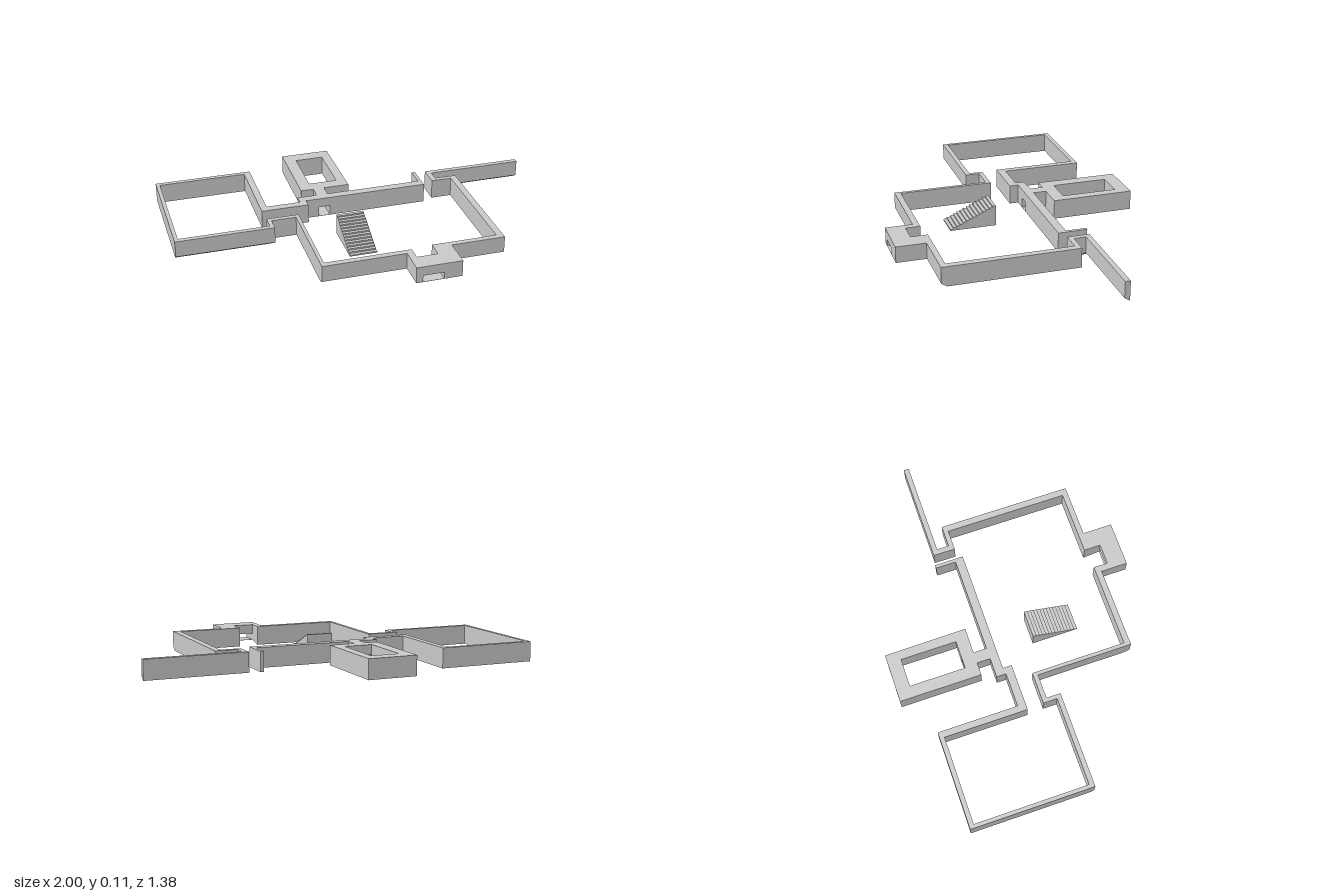
import * as THREE from 'three';

const H = 0.105;      // wall height
const DOOR = 0.055;   // doorway height
const L = 0.018;      // lift of the bevelled front footing

const mat = new THREE.MeshStandardMaterial({ color: 0xcccccc, flatShading: true, side: THREE.DoubleSide });

function add(group, name, geometry) {
  const mesh = new THREE.Mesh(geometry, mat);
  mesh.name = name;
  group.add(mesh);
}

// Wall from a plan outline of [x, z, optional lift of the bottom corner]
function wall(points) {
  const shape = new THREE.Shape(points.map(([x, z]) => new THREE.Vector2(x, -z)));
  const g = new THREE.ExtrudeGeometry(shape, { depth: H, bevelEnabled: false });
  g.rotateX(-Math.PI / 2);
  const p = g.attributes.position;
  for (let i = 0; i < p.count; i++) {
    if (p.getY(i) > 0.001) continue;
    const c = points.find(([x, z]) => Math.hypot(x - p.getX(i), z - p.getZ(i)) < 0.001);
    if (c && c[2]) p.setY(i, c[2]);
  }
  g.computeVertexNormals();
  return g;
}

// Box given by its limits
function box(x0, x1, y0, y1, z0, z1) {
  return new THREE.BoxGeometry(x1 - x0, y1 - y0, z1 - z0)
    .translate((x0 + x1) / 2, (y0 + y1) / 2, (z0 + z1) / 2);
}

export function createModel() {
  const group = new THREE.Group();
  group.name = 'floorPlanWalls';

  // Side room and left half of the hall, from back doorway to porch
  add(group, 'westWalls', wall([
    [-0.19, -0.13], [-0.26, -0.13], [-0.26, -0.082], [-0.512, -0.082],
    [-0.512, -0.53], [-0.98, -0.53], [-0.98, 0.08], [-0.507, 0.08],
    [-0.507, 0.005], [-0.336, 0.005], [-0.336, 0.513], [0.115, 0.513],
    [0.115, 0.59, L], [0.115, 0.688, L], [0.08, 0.688, L], [0.08, 0.545, L],
    [-0.355, 0.545, L], [-0.355, 0.513], [-0.355, 0.03], [-0.485, 0.03],
    [-0.485, 0.08], [-0.485, 0.106, L], [-1, 0.106, L], [-1, 0.08],
    [-1, -0.555], [-0.477, -0.555], [-0.477, -0.125], [-0.295, -0.125],
    [-0.295, -0.176], [-0.19, -0.176],
  ]));

  // Right half of the hall with the long outer wall
  add(group, 'eastWalls', wall([
    [0.225, 0.59, L], [0.225, 0.5], [0.57, 0.5], [0.57, -0.157],
    [0.46, -0.157], [0.46, -0.275], [1, -0.275], [1, -0.247, L],
    [0.488, -0.247, L], [0.488, -0.183], [0.605, -0.183], [0.605, 0.5],
    [0.605, 0.53, L], [0.32, 0.53, L], [0.32, 0.688, L], [0.225, 0.688, L],
  ]));

  // Back wall of the hall ending in a short jamb
  add(group, 'backWall', wall([
    [-0.13, -0.176], [0.386, -0.176], [0.386, -0.285], [0.404, -0.285],
    [0.404, -0.13], [-0.13, -0.13],
  ]));

  // Back chamber, open towards the passage
  add(group, 'backChamber', wall([
    [-0.19, -0.315], [-0.195, -0.315], [-0.195, -0.615], [-0.043, -0.615],
    [-0.043, -0.315], [-0.13, -0.315], [-0.13, -0.247], [0.008, -0.247],
    [0.005, -0.688], [-0.258, -0.688], [-0.258, -0.247], [-0.19, -0.247],
  ]));

  // Passage between hall and chamber
  add(group, 'passageRoof', box(-0.19, -0.13, DOOR, H, -0.315, -0.13));
  add(group, 'passageFloor', box(-0.19, -0.13, 0, 0.001, -0.315, -0.13));
  for (const x of [-0.19, -0.131]) {
    add(group, 'passageSide', box(x, x + 0.001, 0, DOOR, -0.247, -0.176));
  }

  // Porch doorway
  add(group, 'porchLintel', box(0.115, 0.225, DOOR, H, 0.59, 0.688));
  add(group, 'porchFloor', box(0.115, 0.225, L, L + 0.001, 0.59, 0.688));

  // Stairs rising towards the back
  const n = 14, z0 = 0.325, run = 0.25 / n, rise = 0.112 / n;
  const profile = new THREE.Shape();
  profile.moveTo(-z0, 0);
  for (let i = 0; i < n; i++) {
    profile.lineTo(-z0 + i * run, (i + 1) * rise);
    profile.lineTo(-z0 + (i + 1) * run, (i + 1) * rise);
  }
  profile.lineTo(-z0 + 0.25, 0);
  const stairs = new THREE.ExtrudeGeometry(profile, { depth: 0.145, bevelEnabled: false });
  stairs.rotateY(Math.PI / 2).translate(-0.15, 0, 0);
  add(group, 'stairs', stairs);

  return group;
}
